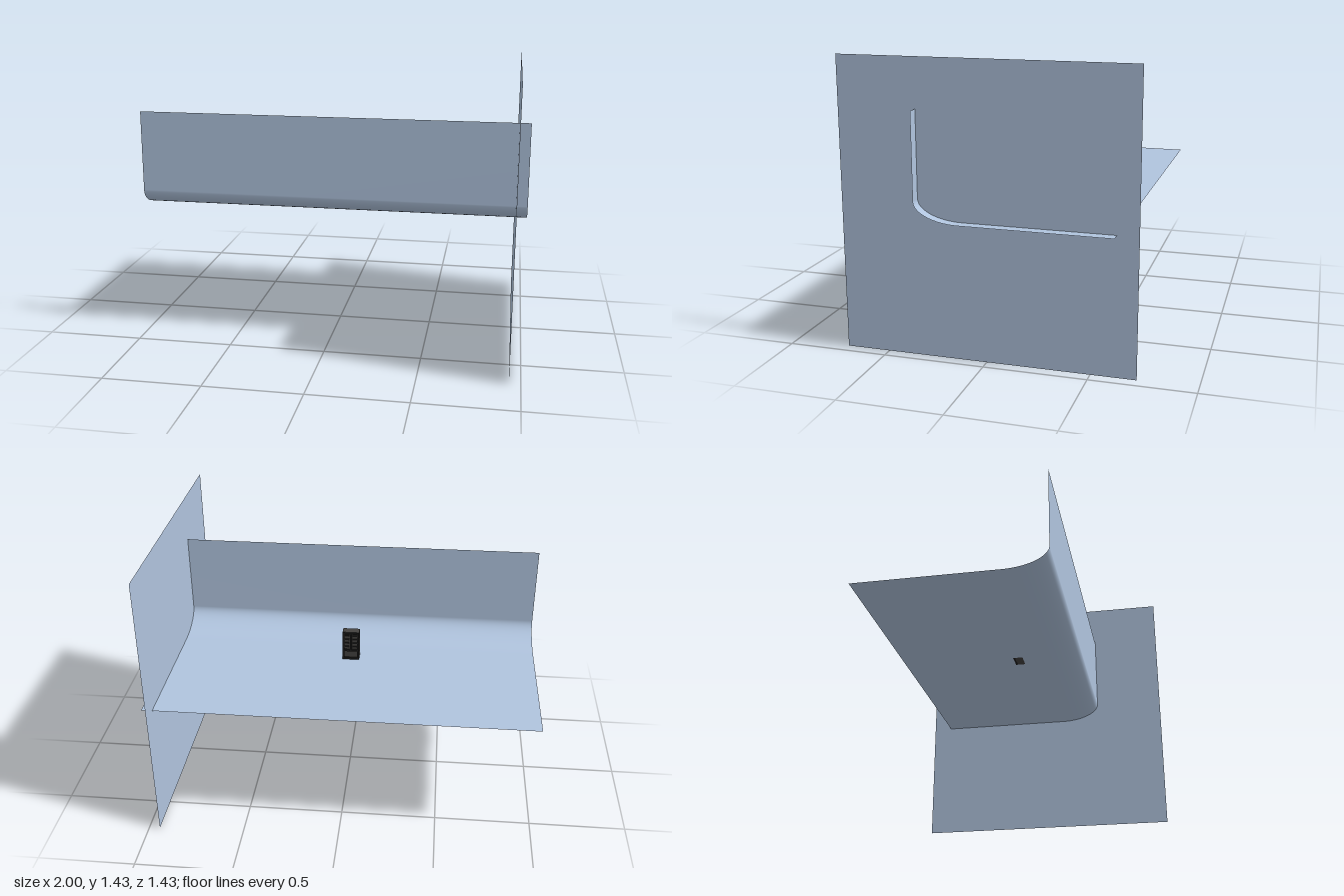
import * as THREE from 'three';

export function createModel() {
  const root = new THREE.Group();
  const sheetMat = new THREE.MeshStandardMaterial({ color: 0xb0c4de, side: THREE.DoubleSide });
  const bodyMat = new THREE.MeshStandardMaterial({ color: 0x444240 });
  const trimMat = new THREE.MeshStandardMaterial({ color: 0x1c1c1c });

  const add = (parent, name, geometry, material, x, y, z) => {
    const mesh = new THREE.Mesh(geometry, material);
    mesh.name = name;
    mesh.position.set(x, y, z);
    parent.add(mesh);
    return mesh;
  };

  // Curved backdrop: upright wall, elliptical bend, level floor (z, y profile)
  const floorY = 0.675, wallZ = 0.33, bendZ = 0.22, bendY = 0.1, steps = 24;
  const profile = [[wallZ, 1.195]];
  for (let i = 0; i <= steps; i++) {
    const a = (i / steps) * Math.PI / 2;
    profile.push([wallZ - bendZ * (1 - Math.cos(a)), floorY + bendY * (1 - Math.sin(a))]);
  }
  profile.push([-0.615, floorY]);
  const sweep = new THREE.PlaneGeometry(2, 1, 1, profile.length - 1);
  const pos = sweep.attributes.position;
  for (let i = 0; i < pos.count; i++) {
    const [z, y] = profile[Math.floor(i / 2)];
    pos.setXYZ(i, pos.getX(i), y, z);
  }
  sweep.computeVertexNormals();
  add(root, 'curvedBackdrop', sweep, sheetMat, 0, 0, 0);

  // Upright side panel that the backdrop passes through
  const panel = add(root, 'sidePanel', new THREE.PlaneGeometry(1.435, 1.435), sheetMat, 0.944, 0.7175, 0);
  panel.rotation.y = Math.PI / 2;

  // Small dark box standing on the floor, with a framed face towards the back
  const box = new THREE.Group();
  box.name = 'smallBox';
  box.position.set(-0.004, floorY, 0);
  root.add(box);
  const w = 0.09, h = 0.165, bar = 0.01, faceZ = -0.014;
  add(box, 'boxBody', new THREE.BoxGeometry(w, h, 0.041), bodyMat, 0, h / 2, 0.0105);
  for (const x of [-1, 0, 1]) {
    const low = x === 0 ? 0.055 : 0;
    add(box, 'frameUpright', new THREE.BoxGeometry(bar, h - low, 0.012), trimMat,
      x * (w - bar) / 2, (h + low) / 2, faceZ);
  }
  for (const y of [bar / 2, 0.055, h - bar / 2]) {
    add(box, 'frameRail', new THREE.BoxGeometry(w - 2 * bar, bar, 0.0116), trimMat, 0, y, faceZ);
  }
  // Raised slats inside the two upper openings
  for (const x of [-0.02, 0.02]) {
    for (let i = 0; i < 4; i++) {
      add(box, 'slat', new THREE.BoxGeometry(0.024, 0.007, 0.006), trimMat, x, 0.076 + i * 0.022, -0.012);
    }
  }
  return root;
}
